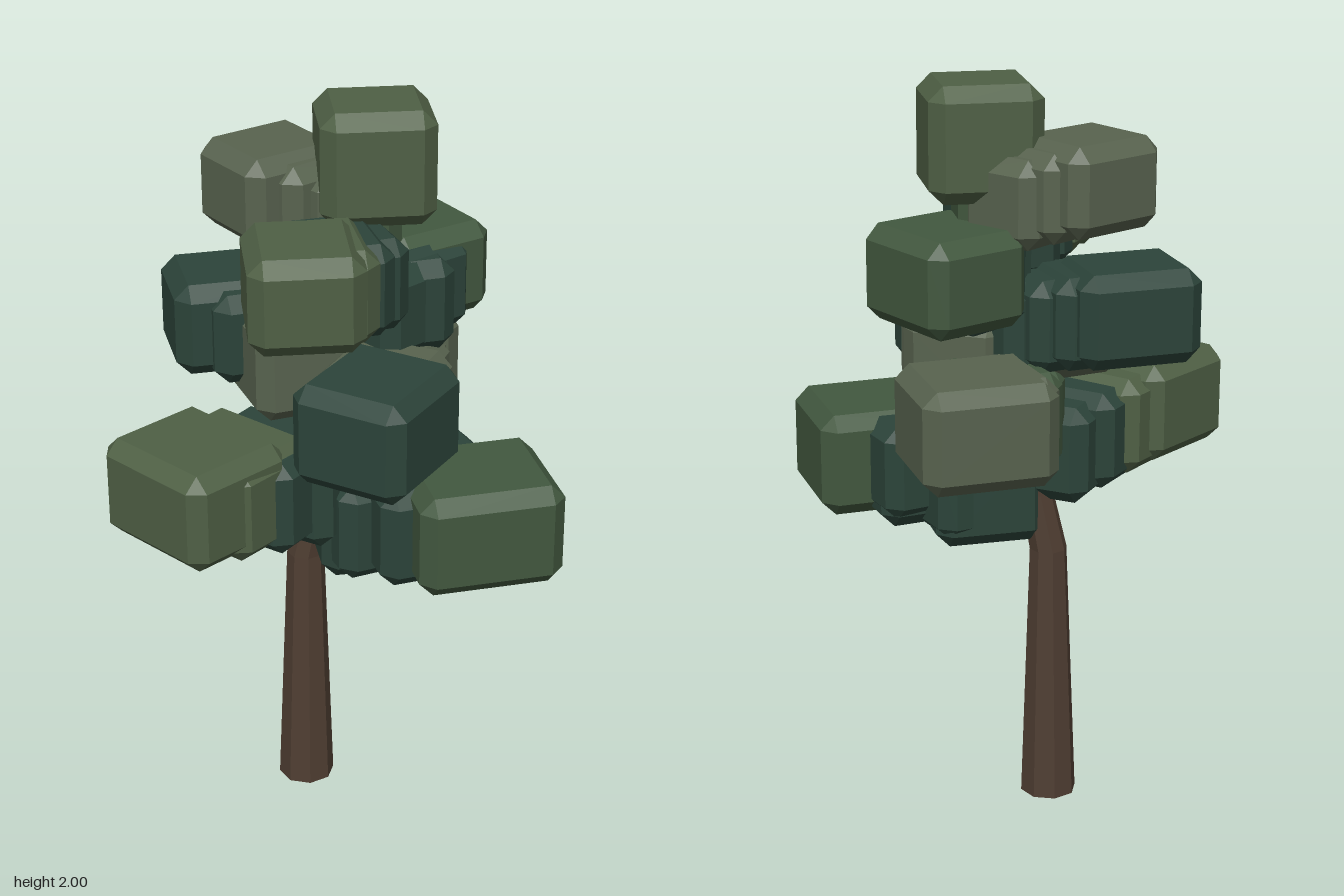
import * as THREE from 'three';
import { ConvexGeometry } from 'three/addons/geometries/ConvexGeometry.js';

const mat = color => new THREE.MeshStandardMaterial({ color, flatShading: true, roughness: 1 });
const MATS = {
  olive: mat(0x4f6045), green: mat(0x42583f), teal: mat(0x2c443a),
  grey: mat(0x58634f), bark: mat(0x4f3e32),
};

// Box with every edge cut off at 45 degrees
function chamferBox(w, h, d, c) {
  const pts = [];
  for (const x of [-1, 1]) for (const y of [-1, 1]) for (const z of [-1, 1]) {
    const X = w / 2, Y = h / 2, Z = d / 2;
    pts.push(new THREE.Vector3(x * X, y * (Y - c), z * (Z - c)));
    pts.push(new THREE.Vector3(x * (X - c), y * Y, z * (Z - c)));
    pts.push(new THREE.Vector3(x * (X - c), y * (Y - c), z * Z));
  }
  return new ConvexGeometry(pts);
}

function block(name, [w, h, d], [x, y, z], deg, material) {
  const m = new THREE.Mesh(chamferBox(w, h, d, 0.038), material);
  m.name = name;
  m.position.set(x, y, z);
  m.rotation.y = THREE.MathUtils.degToRad(deg);
  return m;
}

// Tapered eight-sided limb through centres [x, y, z, radius]
function limb(name, rings, sides = 8) {
  const pos = [], idx = [];
  rings.forEach(([x, y, z, r], i) => {
    for (let s = 0; s < sides; s++) {
      const a = (s + 0.5) / sides * Math.PI * 2;
      pos.push(x + Math.cos(a) * r, y, z + Math.sin(a) * r);
      if (i) {
        const b = (i - 1) * sides, t = (s + 1) % sides;
        idx.push(b + s, b + sides + s, b + t, b + t, b + sides + s, b + sides + t);
      }
    }
  });
  const last = (rings.length - 1) * sides;
  for (let s = 1; s < sides - 1; s++) idx.push(0, s, s + 1, last, last + s + 1, last + s);
  const g = new THREE.BufferGeometry();
  g.setAttribute('position', new THREE.Float32BufferAttribute(pos, 3));
  g.setIndex(idx);
  g.computeVertexNormals();
  const m = new THREE.Mesh(g, MATS.bark);
  m.name = name;
  return m;
}

// Foliage sprays: tip block, its turn, and the inner end the blocks run back to
const SPRAYS = [
  { name: 'lowerLeft', tip: [0.34, 0.95, 0.12], size: [0.385, 0.28, 0.352], deg: 27.8, from: [0.06, 0.91, 0.05], n: 2, tint: 'green', inner: 'teal' },
  { name: 'lowerFrontRight', tip: [-0.35, 1.065, 0.35], size: [0.376, 0.27, 0.33], deg: -31, from: [-0.14, 1.0, 0.1], n: 3, tint: 'olive', inner: 'teal' },
  { name: 'lowerBack', tip: [-0.02, 1.185, -0.355], size: [0.352, 0.27, 0.33], deg: 27, from: [-0.02, 1.12, -0.06], n: 3, tint: 'grey', inner: 'green' },
  { name: 'middleFront', tip: [0.12, 1.295, 0.33], size: [0.32, 0.27, 0.344], deg: -16.3, from: [0.08, 1.24, 0.05], n: 2, tint: 'teal', inner: 'grey' },
  { name: 'middleRight', tip: [-0.355, 1.405, -0.015], size: [0.33, 0.25, 0.285], deg: 27, from: [-0.1, 1.36, 0.03], n: 3, tint: 'teal', inner: 'teal' },
  { name: 'upperBack', tip: [0.087, 1.525, -0.195], size: [0.34, 0.25, 0.3], deg: -43, from: [0.06, 1.48, -0.04], n: 2, tint: 'green', inner: 'teal' },
  { name: 'upperFront', tip: [-0.07, 1.635, 0.31], size: [0.29, 0.25, 0.32], deg: 20, from: [-0.01, 1.585, 0.09], n: 3, tint: 'olive', inner: 'teal' },
  { name: 'upperRight', tip: [-0.25, 1.75, -0.065], size: [0.28, 0.235, 0.3], deg: -40.5, from: [-0.1, 1.71, -0.08], n: 2, tint: 'grey', inner: 'grey' },
];

export function createModel() {
  const tree = new THREE.Group();
  tree.name = 'tree';

  tree.add(limb('trunk', [
    [-0.157, 0, 0.012, 0.077], [-0.152, 0.72, 0.012, 0.051], [-0.12, 0.88, 0.01, 0.045],
    [-0.05, 1.15, 0, 0.04], [-0.02, 1.45, 0, 0.03], [0, 1.8, -0.04, 0.02],
  ]));

  for (const s of SPRAYS) {
    const g = new THREE.Group();
    g.name = s.name + 'Foliage';
    g.add(block('tipLeaves', s.size, s.tip, s.deg, MATS[s.tint]));
    const tip = new THREE.Vector3(...s.tip), from = new THREE.Vector3(...s.from);
    for (let i = 1; i <= s.n; i++) {
      const k = i / s.n, f = 0.95 - 0.1 * k;
      const p = tip.clone().lerp(from, k);
      const size = [s.size[0] * f, s.size[1] * 0.98, s.size[2] * f];
      const tint = i === 1 && s.n > 2 ? s.tint : s.inner;
      g.add(block('innerLeaves', size, p.toArray(), s.deg + i * 5, MATS[tint]));
    }
    // Twig joining the spray to the trunk
    g.add(limb('twig', [[s.from[0], s.from[1] - 0.06, s.from[2], 0.022], [s.tip[0], s.tip[1], s.tip[2], 0.01]], 6));
    tree.add(g);
  }

  // Blocks filling the heart of the crown
  tree.add(
    block('crownTop', [0.295, 0.3, 0.27], [0.022, 1.85, -0.054], 20, MATS.olive),
    block('lowCore', [0.3, 0.3, 0.28], [0.035, 0.9, 0.035], 24, MATS.teal),
    block('lowCoreBack', [0.3, 0.26, 0.22], [0.19, 0.95, 0.015], 38, MATS.teal),
    block('middleCore', [0.3, 0.27, 0.27], [-0.15, 1.345, 0.07], 35, MATS.grey),
    block('highCore', [0.18, 0.22, 0.18], [0.0, 1.67, -0.04], 20, MATS.green),
    block('sideCore', [0.2, 0.25, 0.2], [0.12, 1.48, -0.04], 30, MATS.teal),
  );
  return tree;
}
